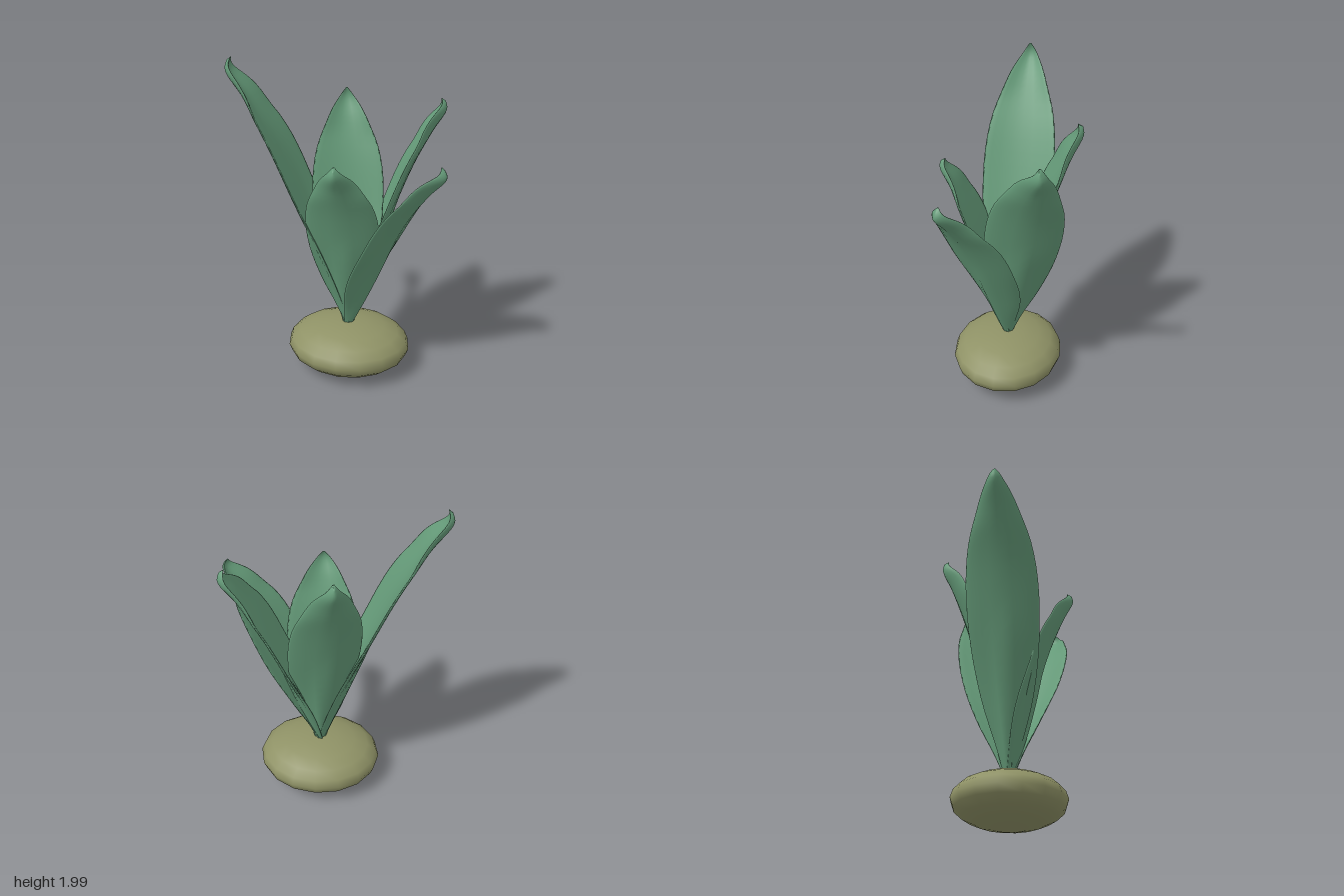
import * as THREE from 'three';

const BASE = new THREE.Vector3(0.07, 0.3, 0);

// midrib as fractions of reach and height, turning upright at the tip
const RIB = [[0, 0], [0.14, 0.19], [0.3, 0.38], [0.6, 0.69], [0.82, 0.86], [0.975, 0.955], [0.965, 1]];
// half width along the leaf
const WIDTH = [[0, 0.028], [0.1, 0.072], [0.25, 0.15], [0.42, 0.2], [0.6, 0.215],
  [0.74, 0.19], [0.85, 0.13], [0.92, 0.08], [0.97, 0.034], [1, 0.006]];

const spline = (points, sx, sy) => new THREE.SplineCurve(points.map(([x, y]) => new THREE.Vector2(x * sx, y * sy)));

function leafGeometry(dx, dz, height, widen, roll) {
  const reach = Math.hypot(dx, dz);
  const out = new THREE.Vector3(dx / reach, 0, dz / reach);
  const up = new THREE.Vector3(0, 1, 0);
  const rib = spline(RIB, reach, height);
  const width = spline(WIDTH, 1, widen);
  const rows = 30, half = 10, ring = half * 2;
  const pos = [], index = [];

  for (let i = 0; i <= rows; i++) {
    const wp = width.getPoint(i / rows);
    const t = THREE.MathUtils.clamp(wp.x, 0, 1), w = Math.max(wp.y, 0.005);
    const p = rib.getPointAt(t), tan = rib.getTangentAt(Math.min(t, 0.93));
    // frame across the leaf, rolled about its own length
    const along = out.clone().multiplyScalar(tan.x).addScaledVector(up, tan.y);
    const side = up.clone().cross(out).applyAxisAngle(along, roll);
    const inward = side.clone().cross(along).negate();
    const cup = w * (0.2 + 0.25 * Math.max(0, 1 - t / 0.5) + 0.45 * Math.max(0, (t - 0.8) / 0.2));
    const keel = 0.008 + 0.024 * Math.sin(Math.PI * Math.min(t / 0.55, 1));
    for (let j = 0; j < ring; j++) {
      const outer = j <= half;
      const s = -Math.cos((j / half) * Math.PI);
      const thick = 0.012 * Math.sqrt(Math.max(0, 1 - s ** 4));
      // the outer face carries a ridge that fades upward
      const ridge = outer ? keel * Math.exp(-((s * w / 0.045) ** 2)) * (1 - s * s) : 0;
      const n = cup * s * s + (outer ? -thick - ridge : thick);
      const v = BASE.clone().addScaledVector(out, p.x).addScaledVector(up, p.y)
        .addScaledVector(side, s * w).addScaledVector(inward, n);
      pos.push(v.x, v.y, v.z);
    }
  }
  for (let i = 0; i < rows; i++) {
    for (let j = 0; j < ring; j++) {
      const a = i * ring + j, b = i * ring + ((j + 1) % ring);
      const c = a + ring, d = b + ring;
      index.push(a, b, d, a, d, c);
    }
  }
  // tip cap
  const last = rows * ring;
  for (let j = 1; j < ring - 1; j++) index.push(last, last + j, last + j + 1);

  const geo = new THREE.BufferGeometry();
  geo.setAttribute('position', new THREE.Float32BufferAttribute(pos, 3));
  geo.setIndex(index);
  geo.computeVertexNormals();
  return geo;
}

export function createModel() {
  const model = new THREE.Group();
  model.name = 'plant';

  // flattened stone-like base
  const stone = new THREE.SphereGeometry(1, 16, 10);
  stone.scale(0.393, 0.16, 0.346);
  const base = new THREE.Mesh(stone, new THREE.MeshStandardMaterial({ color: 0x8f9266 }));
  base.position.set(0.073, 0.167, 0);
  base.name = 'base';
  model.add(base);

  // leaves: reach in x and z, height, width factor, roll
  const green = new THREE.MeshStandardMaterial({ color: 0x659b79, side: THREE.DoubleSide });
  const leaves = {
    rightLeaf: [-0.74, 0.03, 1.69, 1.03, 0],
    backLeaf: [-0.12, -0.405, 1.445, 1.03, 0],
    backLeftLeaf: [0.515, -0.3, 1.445, 1.03, -0.35],
    frontLeftLeaf: [0.605, 0.245, 1.2, 1.03, 0],
    frontLeaf: [0.005, 0.4, 1.2, 1.02, 0.08],
  };
  for (const [name, args] of Object.entries(leaves)) {
    const leaf = new THREE.Mesh(leafGeometry(...args), green);
    leaf.name = name;
    model.add(leaf);
  }
  return model;
}
